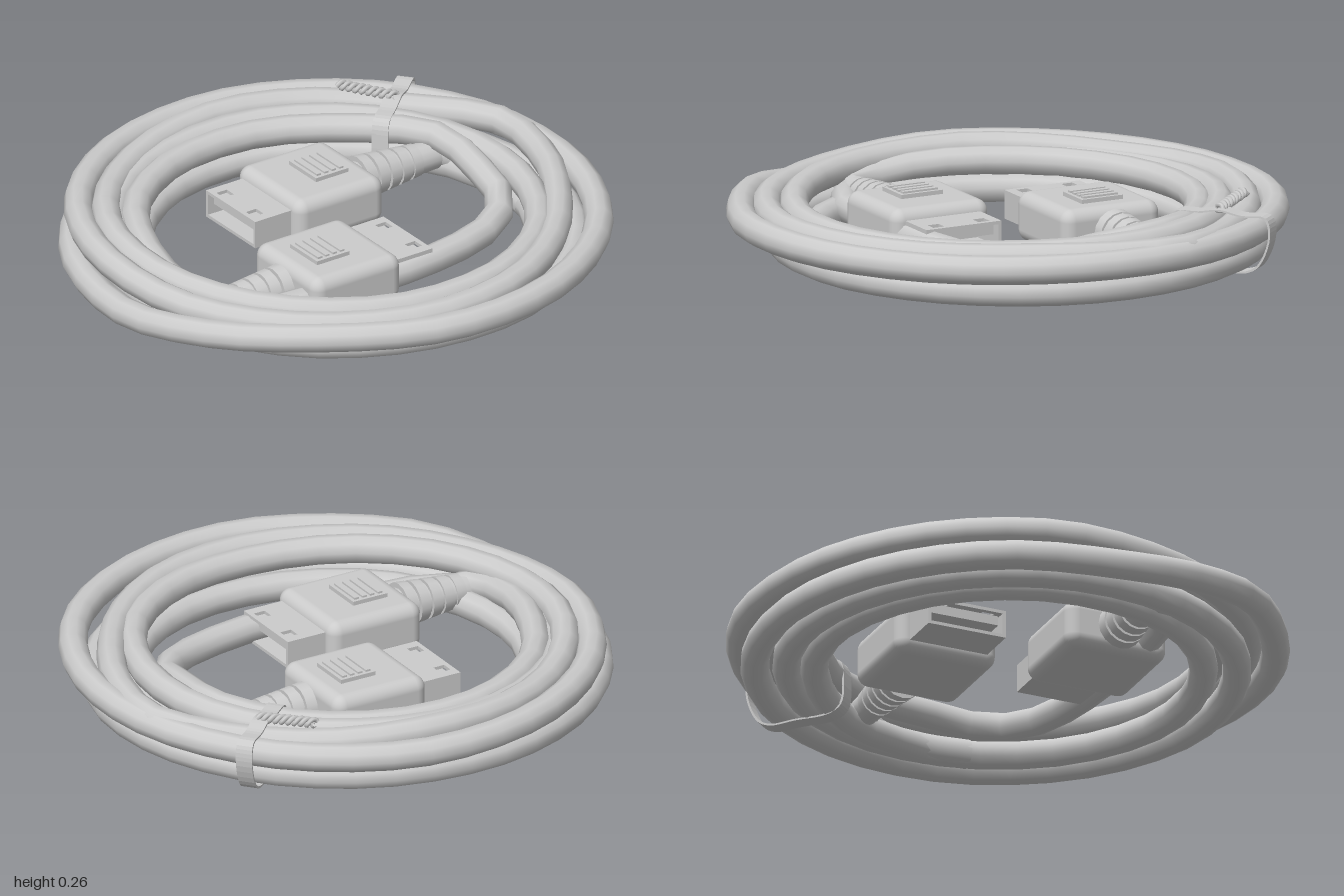
import * as THREE from 'three';
import { RoundedBoxGeometry } from 'three/addons/geometries/RoundedBoxGeometry.js';

const grey = new THREE.MeshStandardMaterial({ color: 0xcccccc });
const RAD = Math.PI / 180;
const PLUG_Y = 0.093;

function add(parent, name, geometry, x = 0, y = 0, z = 0) {
  const mesh = new THREE.Mesh(geometry, grey);
  mesh.name = name;
  mesh.position.set(x, y, z);
  parent.add(mesh);
  return mesh;
}

// Turns [angle in degrees, radius, height] keys into points at most 30 degrees apart
function spiral(keys) {
  const points = [];
  keys.forEach(([a, r, y], i) => {
    const [a0, r0, y0] = i ? keys[i - 1] : keys[0];
    const n = Math.max(1, Math.ceil((a - a0) / 30));
    for (let k = 1; k <= n; k++) {
      const t = k / n, ang = (a0 + (a - a0) * t) * RAD, rad = r0 + (r - r0) * t;
      points.push(new THREE.Vector3(rad * Math.cos(ang), y0 + (y - y0) * t, rad * Math.sin(ang)));
    }
  });
  return points;
}

const vectors = (list) => list.map((p) => new THREE.Vector3(...p));

function cableTube(points, segments) {
  const curve = new THREE.CatmullRomCurve3(points, false, 'centripetal');
  curve.arcLengthDivisions = 3000;
  return new THREE.TubeGeometry(curve, segments, 0.052, 10);
}

// Long cable from the front plug through the inner loop, the chord and all coils
function coilGeometry() {
  const start = vectors([[-0.49, PLUG_Y, 0.358], [-0.63, 0.105, 0.388]]);
  const innerLoop = spiral([[161, 0.74, 0.13], [180, 0.71, 0.15], [300, 0.68, 0.15], [325, 0.69, 0.165]]);
  const chord = vectors([[0.62, 0.14, -0.14], [0.62, 0.11, 0.05], [0.5, 0.09, 0.2], [0.2, 0.085, 0.34],
    [-0.15, 0.08, 0.41], [-0.5, 0.08, 0.45]]);
  const upperCoils = spiral([[155, 0.77, 0.09], [180, 0.78, 0.13], [270, 0.76, 0.155], [360, 0.72, 0.155],
    [450, 0.74, 0.15], [545, 0.80, 0.18], [585, 0.81, 0.165], [625, 0.835, 0.18], [670, 0.86, 0.155],
    [693, 0.92, 0.165], [725, 0.82, 0.165], [755, 0.79, 0.155], [810, 0.84, 0.15], [870, 0.87, 0.15],
    [900, 0.885, 0.17], [990, 0.95, 0.15], [1080, 0.93, 0.15], [1170, 0.95, 0.15]]);
  const lowerCoils = spiral([[1205, 0.945, 0.14], [1245, 0.935, 0.065], [1440, 0.87, 0.054], [1530, 0.81, 0.054],
    [1710, 0.79, 0.054], [1890, 0.69, 0.054], [2100, 0.69, 0.054], [2150, 0.745, 0.054]]);
  return cableTube([start, innerLoop, chord, upperCoils, lowerCoils].flat(), 240);
}

const rectangle = (path, x, z, w, d) => path.moveTo(x - w, z - d).lineTo(x + w, z - d)
  .lineTo(x + w, z + d).lineTo(x - w, z + d).closePath();

// Upper connector wall with two square windows
function windowPlate() {
  const shape = rectangle(new THREE.Shape(), -0.2575, 0, 0.0875, 0.15);
  for (const z of [-0.09, 0.09]) shape.holes.push(rectangle(new THREE.Path(), -0.305, z, 0.022, 0.022));
  return new THREE.ExtrudeGeometry(shape, { depth: 0.012, bevelEnabled: false })
    .translate(0, 0, -0.006).rotateX(Math.PI / 2);
}

// Plug: connector towards -x, strain relief towards +x
function makePlug(name) {
  const plug = new THREE.Group();
  plug.name = name;
  add(plug, 'plugBody', new RoundedBoxGeometry(0.38, 0.18, 0.39, 4, 0.045));

  // Raised grip panel with ridges
  add(plug, 'gripPanel', new THREE.BoxGeometry(0.14, 0.03, 0.165), 0.035, 0.09, 0);
  for (let i = 0; i < 4; i++) {
    add(plug, 'gripRidge', new THREE.BoxGeometry(0.018, 0.008, 0.14), -0.013 + i * 0.032, 0.108, 0);
  }

  // Hollow connector shell and tongue
  add(plug, 'connectorTop', windowPlate(), 0, 0.046, 0);
  add(plug, 'connectorBottom', new THREE.BoxGeometry(0.175, 0.012, 0.3), -0.2575, -0.046, 0);
  for (const s of [-1, 1]) {
    add(plug, 'connectorSide', new THREE.BoxGeometry(0.175, 0.084, 0.012), -0.2575, 0, s * 0.144);
  }
  add(plug, 'connectorTongue', new THREE.BoxGeometry(0.15, 0.035, 0.26), -0.25, 0.018, 0);

  // Ribbed, tapering strain relief
  const taper = (x0, x1, r0, r1) =>
    new THREE.CylinderGeometry(r1, r0, x1 - x0, 16).rotateZ(-Math.PI / 2).translate((x0 + x1) / 2, 0, 0);
  add(plug, 'strainReliefCore', taper(0.17, 0.53, 0.066, 0.054));
  for (let i = 0; i < 5; i++) {
    const x = 0.2 + i * 0.052, r = 0.084 - i * 0.005;
    add(plug, 'strainReliefRib', taper(x, x + 0.04, r, r - 0.004));
  }
  return plug;
}

// Flat wire tie wrapped around the coil, with its twisted ends on top
function makeTie() {
  const tie = new THREE.Group();
  tie.name = 'twistTie';
  const outline = new THREE.CatmullRomCurve3(vectors([
    [-0.13, 0.001, 0], [0, 0.001, 0], [0.1, 0.001, 0], [0.15, 0.03, 0], [0.192, 0.14, 0], [0.175, 0.206, 0],
    [0.08, 0.208, 0], [0, 0.222, 0], [-0.08, 0.21, 0], [-0.175, 0.2, 0], [-0.192, 0.12, 0], [-0.18, 0.03, 0]]),
  true, 'centripetal');
  const ring = outline.getPoints(60).slice(0, 60);
  const shape = new THREE.Shape(ring.map((p) => new THREE.Vector2(p.x, p.y)));
  shape.holes.push(new THREE.Path(
    ring.map((p) => new THREE.Vector2(p.x * 0.96, 0.11 + (p.y - 0.11) * 0.94)).reverse()));
  const band = add(tie, 'tieBand',
    new THREE.ExtrudeGeometry(shape, { depth: 0.06, bevelEnabled: false }).translate(0, 0, -0.03), 0.505, 0, -0.645);
  band.rotation.y = 52 * RAD;

  const start = new THREE.Vector3(0.51, 0.222, -0.63), end = new THREE.Vector3(0.345, 0.236, -0.77);
  const side = new THREE.Vector3().subVectors(end, start).setY(0).normalize().cross(new THREE.Vector3(0, 1, 0));
  for (const phase of [0, Math.PI]) {
    const points = [];
    for (let i = 0; i <= 56; i++) {
      const a = phase + (i / 56) * Math.PI * 2 * 4.5;
      const p = new THREE.Vector3().lerpVectors(start, end, i / 56).addScaledVector(side, 0.015 * Math.cos(a));
      p.y += 0.011 * Math.sin(a);
      points.push(p);
    }
    add(tie, 'tieTwist', new THREE.TubeGeometry(new THREE.CatmullRomCurve3(points), 100, 0.009, 6));
  }
  return tie;
}

export function createModel() {
  const model = new THREE.Group();
  model.name = 'coiledCable';
  add(model, 'cableCoil', coilGeometry());

  // Short lead from the back plug, tucked into the lower coil
  add(model, 'cableLead', cableTube(vectors([[0.4, PLUG_Y, -0.367], [0.57, PLUG_Y, -0.4], [0.67, 0.08, -0.33],
    [0.72, 0.06, -0.17], [0.735, 0.054, 0.02]]), 16));

  const backPlug = makePlug('backPlug');
  backPlug.position.set(0.035, PLUG_Y, -0.29);
  backPlug.rotation.y = 12 * RAD;

  const frontPlug = makePlug('frontPlug');
  frontPlug.position.set(-0.145, PLUG_Y, 0.285);
  frontPlug.rotation.y = 192 * RAD;

  model.add(backPlug, frontPlug, makeTie());
  return model;
}
